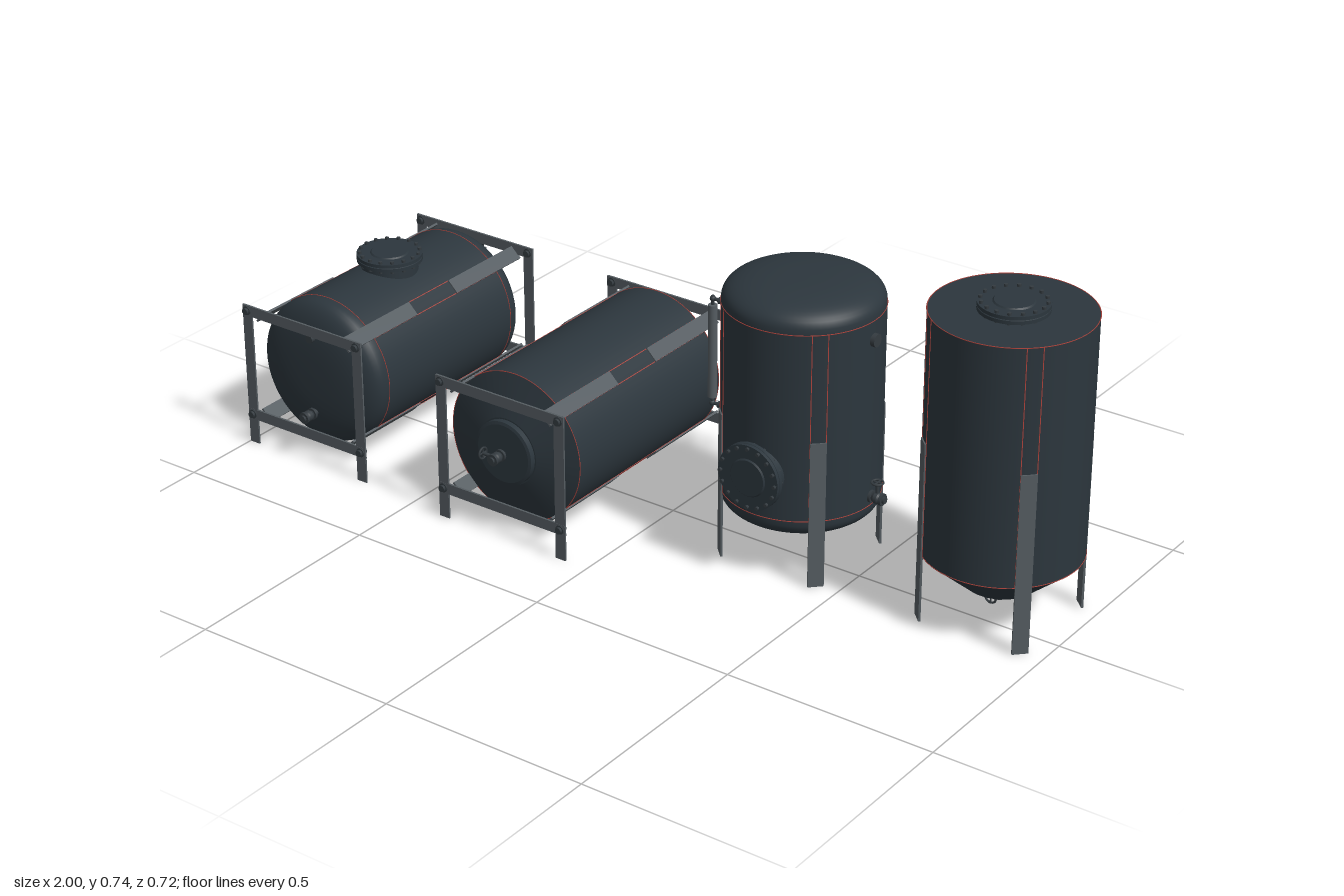
import * as THREE from 'three';

const R = 0.178; // shell radius shared by all four tanks
const mat = (name, color) => Object.assign(new THREE.MeshStandardMaterial({ color }), { name });
const V = (x, y) => new THREE.Vector2(x, y);

export function createModel() {
  const shellMat = mat('dark shell', 0x2c363d);
  const steel = mat('grey steel', 0x555c61);
  const fittingMat = mat('fitting grey', 0x343b40);
  const seamMat = mat('red seam', 0xb0443c);

  const root = new THREE.Group();
  root.name = 'tankSet';

  function add(parent, name, geo, material, x = 0, y = 0, z = 0) {
    const m = new THREE.Mesh(geo, material);
    m.name = name;
    m.position.set(x, y, z);
    parent.add(m);
    return m;
  }
  function place(obj, x, y, z, rx = 0, ry = 0, rz = 0) {
    obj.position.set(x, y, z);
    obj.rotation.set(rx, ry, rz);
    root.add(obj);
    return obj;
  }
  function group(name) {
    const g = new THREE.Group();
    g.name = name;
    return g;
  }
  const cyl = (r, h, n = 16) => new THREE.CylinderGeometry(r, r, h, n);
  // Lathe whose listed corners stay sharp
  const sharpLathe = (pts, n = 32) =>
    new THREE.LatheGeometry(pts.flatMap(([x, y]) => [V(x, y), V(x, y)]), n);

  // Rounded-dome profile between two seams
  function domeProfile(lo, hi, h) {
    const pts = [];
    const N = 14;
    for (let i = 0; i <= N; i++) {
      const t = (i / N) * Math.PI / 2;
      pts.push([R * Math.pow(Math.sin(t), 0.72), h * Math.pow(Math.abs(Math.cos(t)), 0.72)]);
    }
    pts[N][1] = 0;
    return [...pts.map(([x, y]) => V(x, lo - y)), ...pts.reverse().map(([x, y]) => V(x, hi + y))];
  }

  // Tank along local y: shell, ring seams, straight seams and tangent support plates
  function tank(name, shellGeo, lo, hi, plates) {
    const g = group(name);
    add(g, 'shell', shellGeo, shellMat);
    for (const y of [lo, hi]) {
      const ring = add(g, 'ringSeam', new THREE.TorusGeometry(R, 0.0011, 4, 72), seamMat, 0, y, 0);
      ring.rotation.x = Math.PI / 2;
    }
    for (let k = 0; k < 4; k++) {
      const side = group('supportSide');
      side.rotation.y = Math.PI / 4 + k * Math.PI / 2;
      g.add(side);
      for (const s of [-1, 1]) {
        add(side, 'straightSeam', new THREE.BoxGeometry(0.0018, hi - lo, 0.0018), seamMat,
          s * 0.0175, (lo + hi) / 2, 0.1772);
      }
      for (const [a, b] of plates) {
        add(side, 'supportPlate', new THREE.BoxGeometry(0.036, b - a, 0.005), steel, 0, (a + b) / 2, 0.1785);
      }
    }
    return g;
  }

  // Bolted manhole pointing along local +y
  function manhole(neck) {
    const g = group('manhole');
    add(g, 'neckAndCover', sharpLathe([
      [0.068, -0.06], [0.066, neck], [0.077, neck], [0.077, neck + 0.008], [0.075, neck + 0.009],
      [0.077, neck + 0.01], [0.077, neck + 0.018], [0.045, neck + 0.018], [0.042, neck + 0.021], [0, neck + 0.021],
    ], 48), shellMat);
    for (let i = 0; i < 16; i++) {
      const a = (i / 16) * Math.PI * 2;
      add(g, 'bolt', cyl(0.0045, 0.03, 6), fittingMat, 0.07 * Math.cos(a), neck + 0.009, 0.07 * Math.sin(a));
    }
    return g;
  }

  // Flanged outlet along local +y, with an optional handle toward local +x
  function valve(handle) {
    const g = group('valve');
    add(g, 'body', sharpLathe([
      [0.008, -0.02], [0.008, 0.007], [0.014, 0.007], [0.014, 0.013], [0.009, 0.013], [0.013, 0.02],
      [0.013, 0.028], [0.009, 0.034], [0.014, 0.034], [0.014, 0.04], [0.008, 0.04], [0.008, 0.045], [0, 0.045],
    ], 20), fittingMat);
    if (handle) {
      add(g, 'stem', cyl(0.004, 0.036, 10), fittingMat, 0.02, 0.024, 0).rotation.z = Math.PI / 2;
      add(g, 'handwheel', new THREE.TorusGeometry(0.013, 0.0025, 6, 20), fittingMat, 0.038, 0.024, 0)
        .rotation.y = Math.PI / 2;
      for (const rx of [0, Math.PI / 2]) {
        add(g, 'wheelSpoke', cyl(0.002, 0.026, 6), fittingMat, 0.038, 0.024, 0).rotation.x = rx;
      }
    }
    return g;
  }

  // Upright sight gauge standing off along local +z
  function gauge(h, d) {
    const g = group('levelGauge');
    add(g, 'gaugeTube', cyl(0.0105, h - 0.03, 16), steel, 0, 0, d);
    add(g, 'gaugeRod', cyl(0.004, h + 0.014, 8), fittingMat, 0, 0, d);
    for (const s of [-1, 1]) {
      add(g, 'gaugeArm', cyl(0.004, d + 0.02, 10), fittingMat, 0, s * h / 2, d / 2 - 0.01).rotation.x = Math.PI / 2;
      add(g, 'gaugeCock', cyl(0.008, 0.014, 12), fittingMat, 0, s * h / 2, d * 0.6).rotation.x = Math.PI / 2;
      add(g, 'gaugeElbow', new THREE.SphereGeometry(0.007, 12, 8), fittingMat, 0, s * h / 2, d);
    }
    return g;
  }

  // End frame for a lying tank: two posts, two rails, corner bolts
  function endFrame(x, z) {
    const g = group('endFrame');
    const t = 0.004;
    for (const s of [-1, 1]) {
      add(g, 'post', new THREE.BoxGeometry(0.027, 0.355, t), steel, s * 0.164, 0.1775, 0);
      for (const y of [0.075, 0.342]) {
        add(g, 'cornerBolt', cyl(0.008, 0.022, 10), fittingMat, s * 0.164, y, 0).rotation.x = Math.PI / 2;
        add(g, 'boltWasher', cyl(0.011, 0.01, 12), fittingMat, s * 0.164, y, 0).rotation.x = Math.PI / 2;
      }
    }
    for (const y of [0.075, 0.342]) {
      add(g, 'rail', new THREE.BoxGeometry(0.355, 0.026, t + 0.001), steel, 0, y, 0);
    }
    place(g, x, 0, z);
  }

  const H = Math.PI / 2;
  const X = [-0.822, -0.235, 0.321, 0.822];
  const Y = 0.207;

  // Lying tank with domed ends
  const dome1 = new THREE.LatheGeometry(domeProfile(-0.2225, 0.2225, 0.0625), 72);
  place(tank('lyingDomedTank', dome1, -0.2225, 0.2225, [[-0.312, -0.072], [0.072, 0.312]]), X[0], Y, -0.01, H);
  endFrame(X[0], 0.304);
  endFrame(X[0], -0.322);
  place(manhole(0.014), X[0], Y + R, -0.01);
  place(valve(false), X[0], 0.115, 0.273, H);
  place(gauge(0.21, 0.065), X[0], 0.21, -0.285, 0, Math.PI);
  const vent = group('ventNozzle');
  add(vent, 'nozzle', cyl(0.01, 0.04), fittingMat);
  place(vent, X[0], 0.305, 0.262, H);

  // Lying tank with tapered ends
  const cone2 = sharpLathe([[0, -0.295], [0.08, -0.295], [R, -0.262], [R, 0.262], [0.08, 0.293], [0, 0.293]], 72);
  place(tank('lyingTaperedTank', cone2, -0.262, 0.262, [[-0.315, -0.07], [0.07, 0.315]]), X[1], Y, 0.005, H);
  endFrame(X[1], 0.322);
  endFrame(X[1], -0.31);
  place(manhole(0.022), X[1], Y, -0.286, -H);
  const cover = group('endCover');
  add(cover, 'coverPlate', sharpLathe([[0.077, -0.01], [0.077, 0.014], [0.07, 0.016], [0, 0.016]], 48), shellMat);
  place(cover, X[1], Y, 0.297, H);
  place(valve(true), X[1], Y, 0.312, H, Math.PI);

  // Standing tank with domed ends
  const z3 = -0.033;
  const dome3 = new THREE.LatheGeometry(domeProfile(0.16, 0.604, 0.061), 72);
  place(tank('standingDomedTank', dome3, 0.16, 0.604, [[0, 0.35]]), X[2], 0, z3);
  place(manhole(0.01), X[2], 0.262, z3 + R, H);
  place(gauge(0.255, 0.06), X[2] - R, 0.413, z3, 0, -H);
  place(valve(true), X[2] + R - 0.004, 0.185, z3, 0, Math.PI, H);
  const port = group('sidePort');
  add(port, 'portFlange', cyl(0.015, 0.03, 20), fittingMat);
  place(port, X[2] + R - 0.005, 0.56, z3, 0, 0, H);

  // Standing tank with flat top and conical base
  const z4 = -0.052;
  const cone4 = sharpLathe([[0, 0.074], [0.08, 0.074], [R, 0.158], [R, 0.713], [0, 0.713]], 72);
  place(tank('standingConeTank', cone4, 0.158, 0.713, [[0, 0.425]]), X[3], 0, z4);
  place(manhole(0.003), X[3], 0.713, z4);
  place(valve(true), X[3], 0.075, z4, Math.PI, H);

  return root;
}
